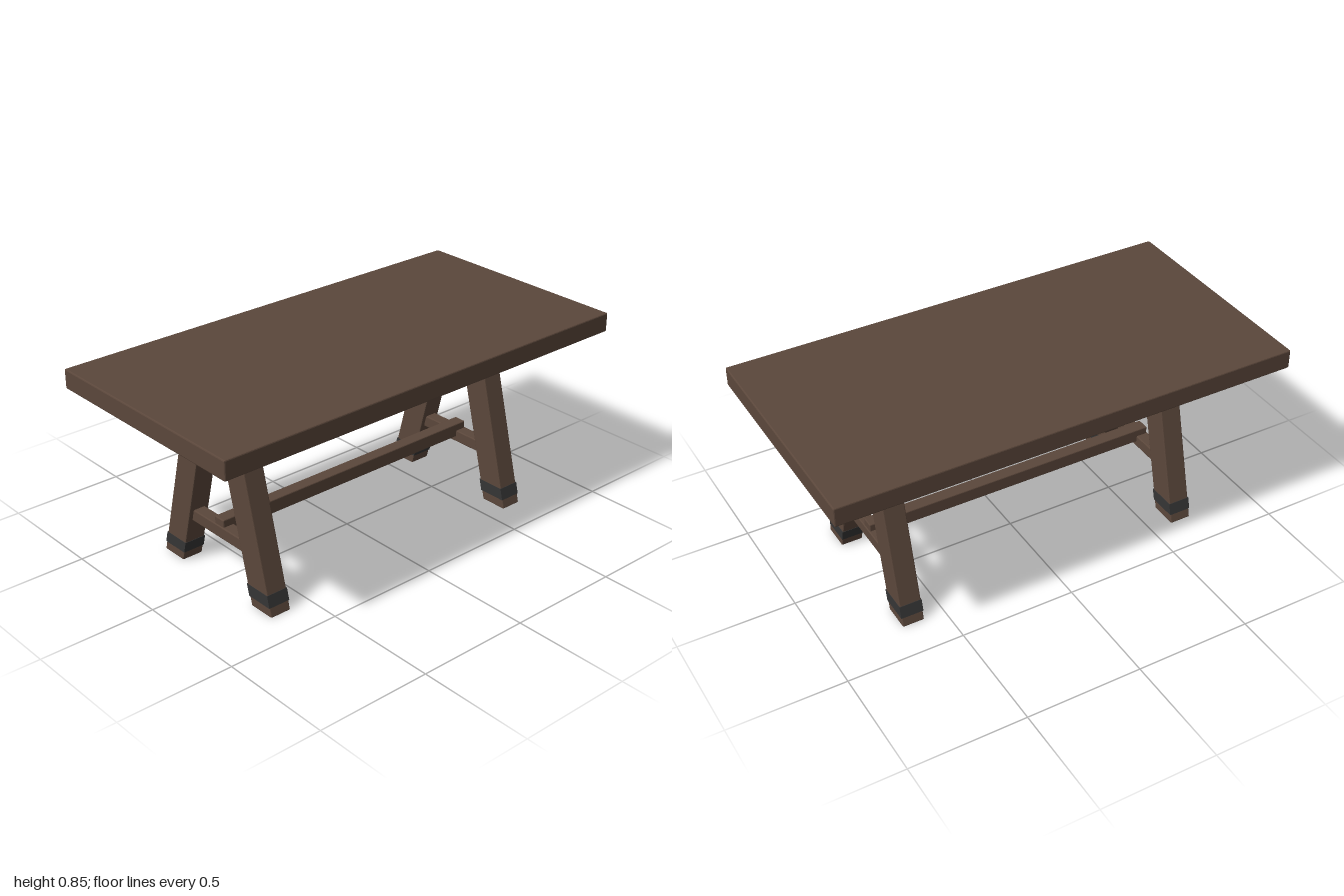
import * as THREE from 'three';
import { RoundedBoxGeometry } from 'three/addons/geometries/RoundedBoxGeometry.js';

const LEG_SLOPE = 0.255; // inward lean per unit of height
const LEG_FOOT_Z = 0.286; // leg centre at the floor

const wood = new THREE.MeshStandardMaterial({ color: 0x5b473b });
wood.name = 'dark brown wood';
const iron = new THREE.MeshStandardMaterial({ color: 0x353535 });
iron.name = 'dark grey band';

// Box with small flat chamfers
function timber(name, w, h, d, x, y, z, chamfer = 0.004) {
  const geo = new RoundedBoxGeometry(w, h, d, 1, chamfer);
  geo.clearGroups();
  geo.computeVertexNormals();
  const mesh = new THREE.Mesh(geo, wood);
  mesh.name = name;
  mesh.position.set(x, y, z);
  return mesh;
}

// Shear a geometry spanning y0..y1 so that it follows the leaning leg
function lean(geo, y0, y1, side) {
  geo.translate(0, (y0 + y1) / 2, 0);
  const p = geo.attributes.position;
  for (let i = 0; i < p.count; i++) {
    p.setZ(i, p.getZ(i) + side * (LEG_FOOT_Z - LEG_SLOPE * p.getY(i)));
  }
  geo.computeVertexNormals();
  return geo;
}

export function createModel() {
  const table = new THREE.Group();
  table.name = 'trestleTable';

  // Thick top
  table.add(timber('tableTop', 2, 0.083, 1.01, 0, 0.8085, 0, 0.005));

  // Trestle base, set slightly off the centre of the top
  const base = new THREE.Group();
  base.name = 'base';
  base.position.set(-0.004, 0, 0.004);
  table.add(base);

  for (const sx of [-1, 1]) {
    for (const sz of [-1, 1]) {
      // Leaning leg with a band near the foot
      const leg = new THREE.Group();
      leg.name = 'leg';
      leg.position.x = sx * 0.642;
      const post = timber('legPost', 0.094, 0.762, 0.121, 0, 0, 0);
      lean(post.geometry, 0, 0.762, sz);
      const band = new THREE.Mesh(
        lean(new THREE.BoxGeometry(0.098, 0.05, 0.125), 0.04, 0.09, sz), iron);
      band.name = 'legBand';
      leg.add(post, band);
      base.add(leg);
    }
    // Cross rail joining the two legs of a trestle
    base.add(timber('crossRail', 0.055, 0.052, 0.4, sx * 0.642, 0.226, 0));
  }

  // Long stretcher resting in the cross rails
  base.add(timber('stretcher', 1.33, 0.06, 0.056, 0, 0.254, 0));

  // Long rails under the top
  base.add(timber('frontRail', 1.43, 0.086, 0.055, 0, 0.723, 0.123));
  base.add(timber('backRail', 1.43, 0.086, 0.056, 0, 0.723, -0.102));

  return table;
}
